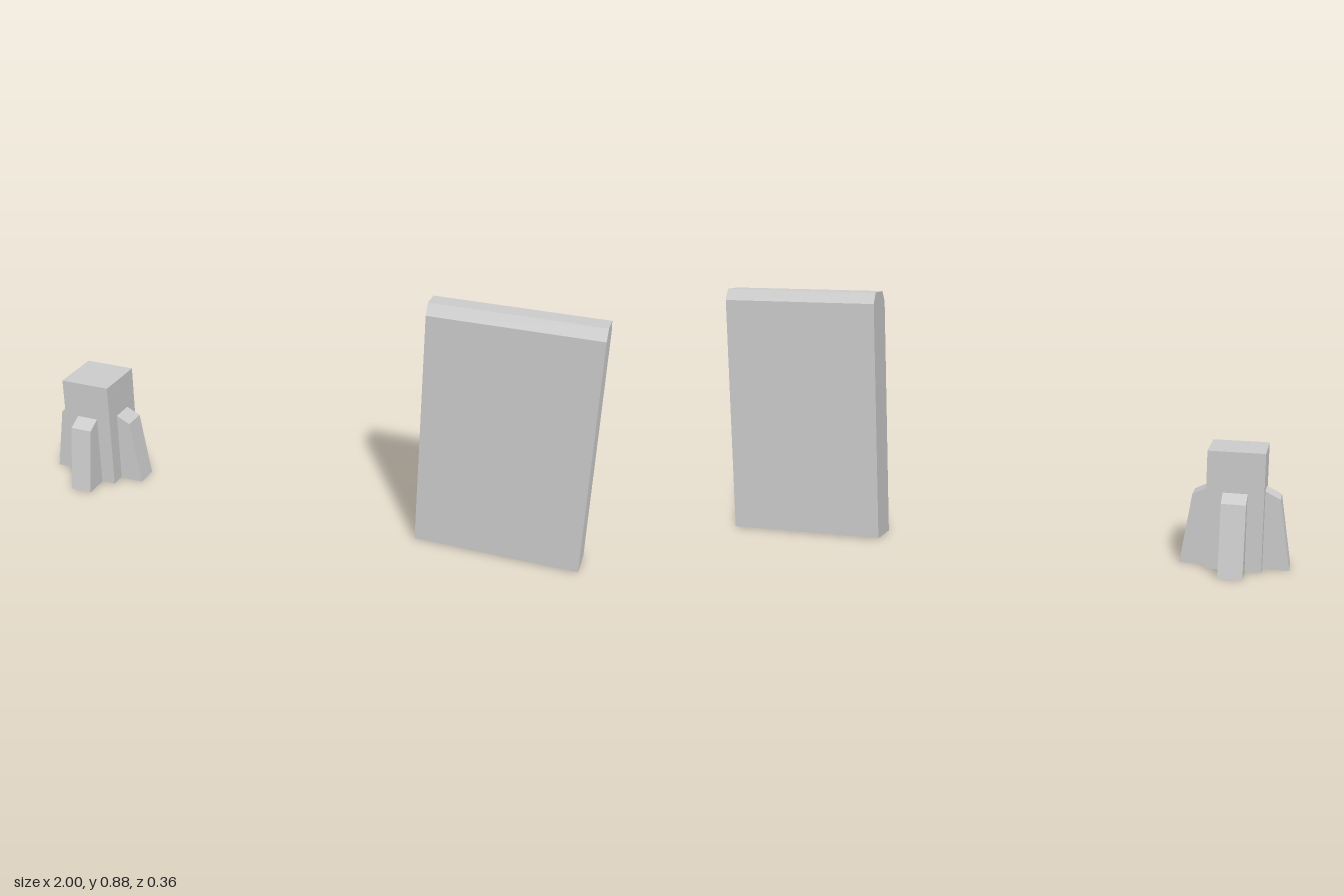
import * as THREE from 'three';

const material = new THREE.MeshStandardMaterial({ color: 0xcccccc, flatShading: true });

// Straight extrusion of a polygon profile, centred on its depth
function prism(points, depth) {
  const shape = new THREE.Shape(points.map(([x, y]) => new THREE.Vector2(x, y)));
  return new THREE.ExtrudeGeometry(shape, { depth, bevelEnabled: false }).translate(0, 0, -depth / 2);
}

function part(name, geometry) {
  const mesh = new THREE.Mesh(geometry, material);
  mesh.name = name;
  return mesh;
}

export function createModel() {
  const model = new THREE.Group();
  model.name = 'pillarAndWall';

  // Square pillar with a sloped buttress on each side
  const pillar = new THREE.Group();
  pillar.name = 'pillar';
  pillar.position.x = -0.817;
  const height = 0.397;
  pillar.add(part('pillarCore', new THREE.BoxGeometry(0.186, height, 0.186).translate(0, 0.002 + height / 2, 0)));
  const buttress = prism([[0.085, 0], [0.18, 0], [0.143, 0.238], [0.093, 0.263], [0.085, 0.263]], 0.08);
  for (let i = 0; i < 4; i++) {
    const mesh = part('buttress', buttress);
    mesh.rotation.y = i * Math.PI / 2;
    pillar.add(mesh);
  }
  model.add(pillar);

  // Wall panel with chamfered top edges, profile turned to run along x
  const wall = part('wallPanel', prism([
    [-0.037, 0.003], [0.066, 0.003], [0.066, 0.84], [0.046, 0.878], [-0.018, 0.878], [-0.037, 0.84],
  ], 0.566));
  wall.rotation.y = Math.PI / 2;
  wall.position.x = 0.716;
  model.add(wall);

  return model;
}
